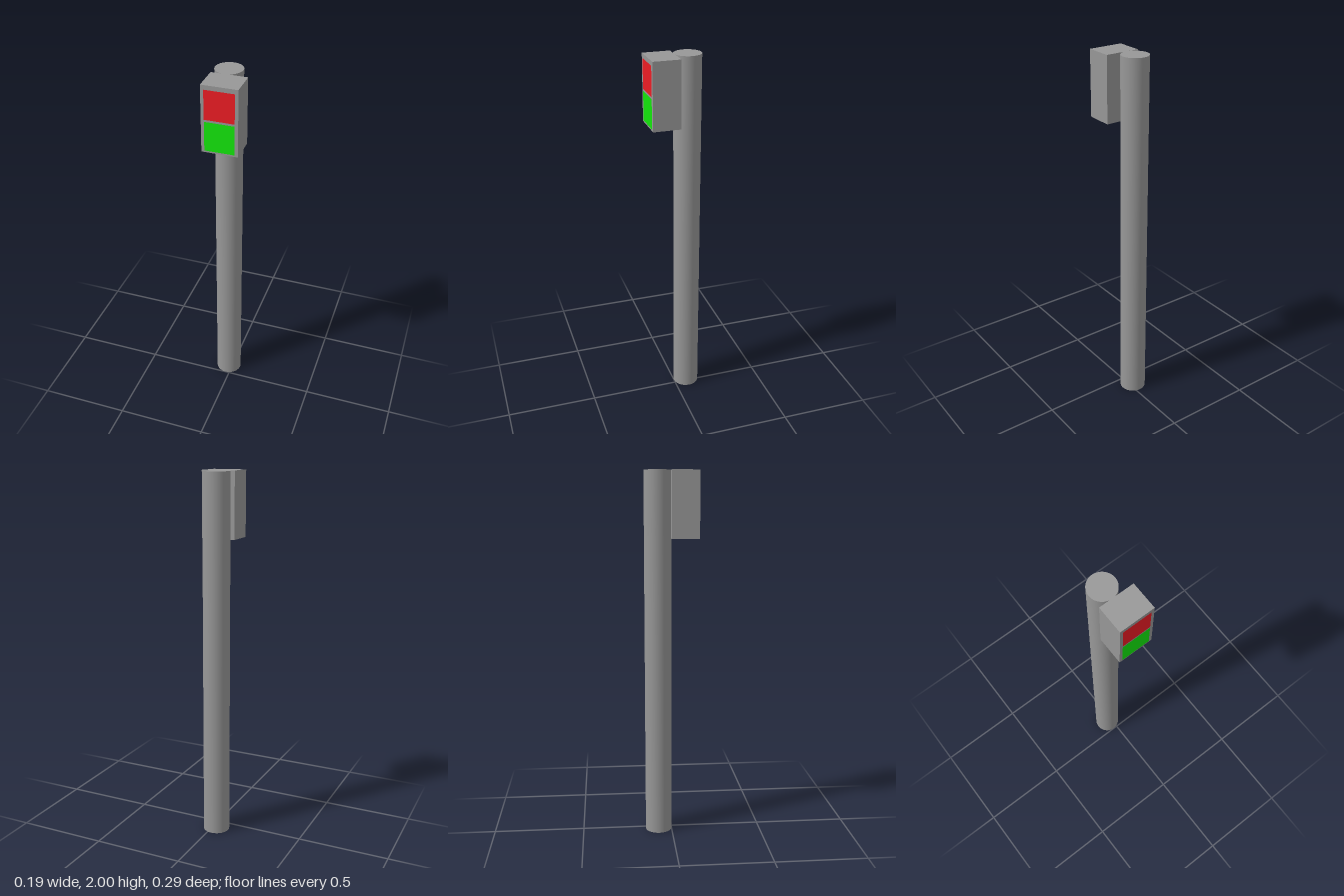
import * as THREE from 'three';

export function createModel() {
  const model = new THREE.Group();
  const grey = new THREE.MeshStandardMaterial({ color: 0x979797 });

  function add(name, geometry, material, x, y, z) {
    const mesh = new THREE.Mesh(geometry, material);
    mesh.name = name;
    mesh.position.set(x, y, z);
    model.add(mesh);
  }

  // Round post, set behind and to one side of the signal box
  add('pole', new THREE.CylinderGeometry(0.0727, 0.0727, 2, 64), grey, -0.0235, 1, -0.0733);

  // Signal box touching the front of the post
  add('signalBox', new THREE.BoxGeometry(0.189, 0.355, 0.147), grey, 0.0005, 1.8225, 0.0715);

  // Square lamp panels, flush with the front of the box
  const lamps = [
    ['redLamp', 0xed1c24, 1.899],
    ['greenLamp', 0x13e60b, 1.732],
  ];
  for (const [name, color, y] of lamps) {
    const material = new THREE.MeshStandardMaterial({ color });
    add(name, new THREE.PlaneGeometry(0.156, 0.156), material, 0, y, 0.146);
  }

  return model;
}
